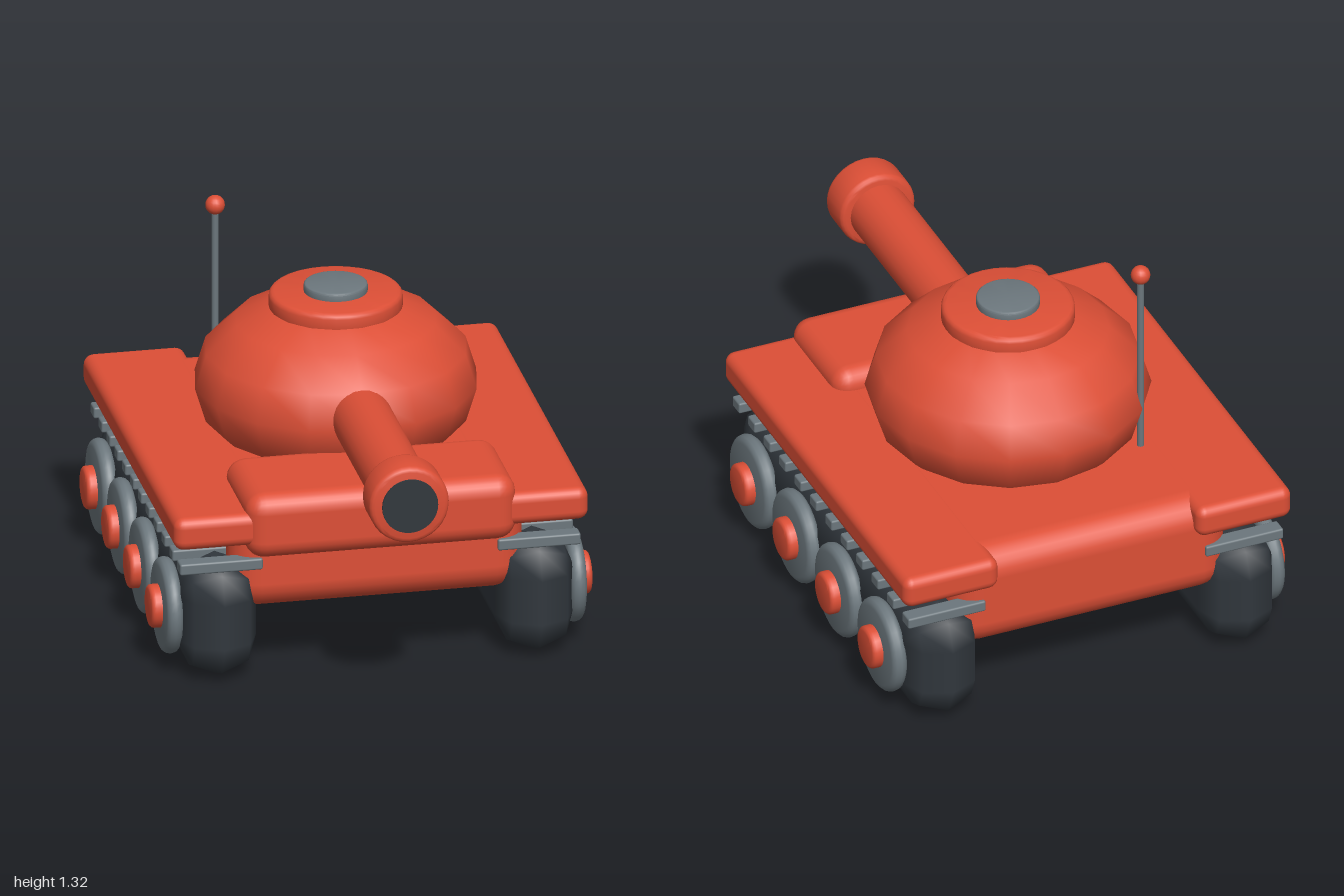
import * as THREE from 'three';
import { toCreasedNormals } from 'three/addons/utils/BufferGeometryUtils.js';
import { RoundedBoxGeometry } from 'three/addons/geometries/RoundedBoxGeometry.js';

const material = (name, color) => {
  const m = new THREE.MeshStandardMaterial({ color });
  m.name = name;
  return m;
};

// Disc or cylinder along y with rounded rims
function roundedDisc(r, h, bevel, sides = 32) {
  const pts = [new THREE.Vector2(0, -h / 2)];
  for (const end of [-1, 1]) {
    for (let i = 0; i <= 3; i++) {
      const a = (end < 0 ? i - 3 : i) * Math.PI / 6;
      pts.push(new THREE.Vector2(r - bevel + bevel * Math.cos(a), end * (h / 2 - bevel) + bevel * Math.sin(a)));
    }
  }
  pts.push(new THREE.Vector2(0, h / 2));
  return toCreasedNormals(new THREE.LatheGeometry(pts, sides), 0.6);
}

// Track body: rounded loops stacked along x, meeting in a ridge at mid width
function trackGeometry(halfW, halfH, halfD) {
  const pos = [], norm = [], index = [], n = 12, layers = 5;
  for (let k = 0; k < layers; k++) {
    const phi = (k - 2) * Math.PI / 4;
    for (let i = 0; i < n; i++) {
      const corner = Math.floor(i / 3);
      const a = (corner * 2 + (i % 3)) * Math.PI / 4;
      const sz = corner === 0 || corner === 3 ? 1 : -1, sy = corner < 2 ? 1 : -1;
      const nx = Math.sin(phi), ny = Math.cos(phi) * Math.sin(a), nz = Math.cos(phi) * Math.cos(a);
      pos.push(halfW * nx, sy * (halfH - halfW) + halfW * ny, sz * (halfD - halfW) + halfW * nz);
      norm.push(nx, ny, nz);
    }
  }
  for (let k = 0; k < layers - 1; k++) {
    for (let i = 0; i < n; i++) {
      const j = (i + 1) % n, a = k * n, b = a + n;
      index.push(a + i, b + i, a + j, b + i, b + j, a + j);
    }
  }
  const last = (layers - 1) * n;
  for (let i = 1; i < n - 1; i++) index.push(0, i, i + 1, last, last + i + 1, last + i);
  const g = new THREE.BufferGeometry();
  g.setAttribute('position', new THREE.Float32BufferAttribute(pos, 3));
  g.setAttribute('normal', new THREE.Float32BufferAttribute(norm, 3));
  g.setIndex(index);
  return g;
}

export function createModel() {
  const model = new THREE.Group();
  model.name = 'tank';
  const red = material('red paint', 0xdd4f36);
  const grey = material('grey metal', 0x6c777d);
  const dark = material('dark rubber', 0x31373d);
  const midZ = -0.217;

  const add = (name, geometry, mat, x, y, z, parent = model) => {
    const mesh = new THREE.Mesh(geometry, mat);
    mesh.name = name;
    mesh.position.set(x, y, z);
    parent.add(mesh);
    return mesh;
  };

  // Hull and sloped front block
  add('hull', new RoundedBoxGeometry(1.0, 0.369, 1.446, 3, 0.1), red, 0, 0.4195, midZ);
  add('frontBlock', new RoundedBoxGeometry(0.92, 0.23, 0.415, 3, 0.065), red, 0, 0.555, 0.357);

  // Turret, cupola and hatch
  const turret = add('turret', new THREE.SphereGeometry(0.478, 16, 8), red, 0, 0.755, midZ);
  turret.scale.y = 0.31 / 0.478;
  add('cupola', roundedDisc(0.224, 0.07, 0.018), red, 0, 1.04, midZ);
  add('hatch', roundedDisc(0.107, 0.045, 0.008), grey, 0, 1.08, midZ);

  // Gun
  const gun = new THREE.Group();
  gun.name = 'gun';
  gun.position.y = 0.783;
  gun.rotation.x = Math.PI / 2;
  model.add(gun);
  add('barrel', new THREE.CylinderGeometry(0.102, 0.102, 0.9, 24), red, 0, 0.45, 0, gun);
  add('muzzle', roundedDisc(0.136, 0.135, 0.018), red, 0, 0.9255, 0, gun);
  add('bore', new THREE.CylinderGeometry(0.095, 0.095, 0.009, 32), dark, 0, 0.9955, 0, gun);

  // Antenna
  add('antennaRod', new THREE.CylinderGeometry(0.012, 0.012, 0.69, 12), grey, -0.345, 0.925, -0.53);
  add('antennaTip', new THREE.SphereGeometry(0.033, 16, 12), red, -0.345, 1.285, -0.53);

  // Running gear, mirrored on both sides
  const fenderGeo = new RoundedBoxGeometry(0.345, 0.115, 1.525, 3, 0.035);
  const trackGeo = trackGeometry(0.134, 0.212, 0.782);
  const slatGeo = new RoundedBoxGeometry(0.282, 0.04, 0.058, 2, 0.007);
  const wheelGeo = roundedDisc(0.163, 0.055, 0.025);
  const hubGeo = roundedDisc(0.074, 0.09, 0.015, 24);
  for (const s of [-1, 1]) {
    const side = new THREE.Group();
    side.name = s > 0 ? 'leftRunningGear' : 'rightRunningGear';
    model.add(side);
    add('fender', fenderGeo, red, s * 0.5325, 0.5475, midZ, side);
    add('track', trackGeo, dark, s * 0.54, 0.212, midZ, side);
    for (let i = 0; i < 12; i++) {
      add('trackSlat', slatGeo, grey, s * 0.541, 0.415, 0.488 - i * 0.1282, side);
    }
    for (let i = 0; i < 4; i++) {
      const z = 0.319 - i * 0.354;
      add('wheel', wheelGeo, grey, s * 0.687, 0.214, z, side).rotation.z = -s * Math.PI / 2;
      add('wheelHub', hubGeo, red, s * 0.705, 0.214, z, side).rotation.z = -s * Math.PI / 2;
    }
  }
  return model;
}
